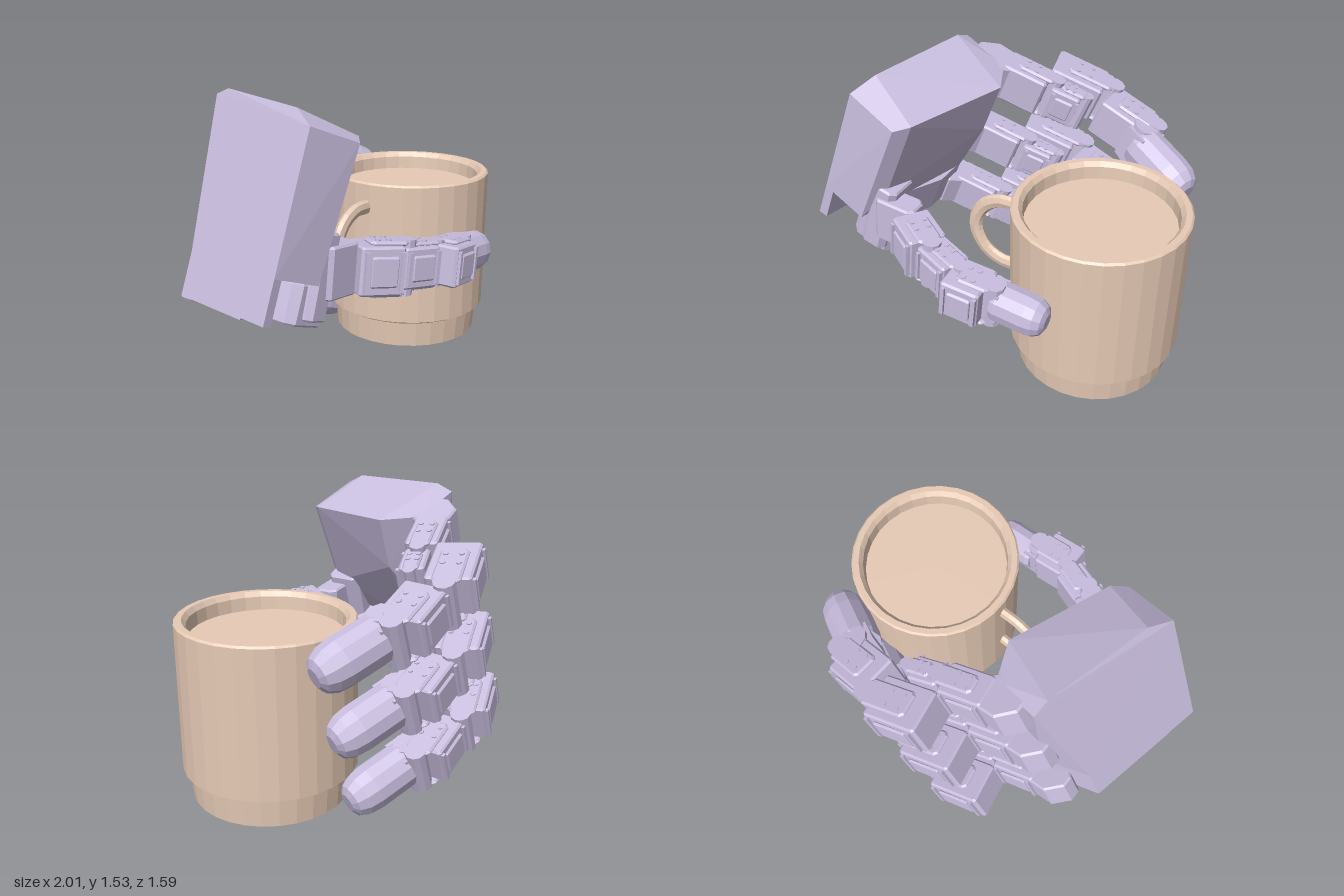
import * as THREE from 'three';
import { ConvexGeometry } from 'three/addons/geometries/ConvexGeometry.js';

const shell = new THREE.MeshStandardMaterial({ color: 0xc9bedf, flatShading: true });
const clay = new THREE.MeshStandardMaterial({ color: 0xe6cab5, flatShading: true, side: THREE.DoubleSide });

function add(parent, name, geometry, material = shell, x = 0, y = 0, z = 0) {
  const mesh = new THREE.Mesh(geometry, material);
  mesh.name = name;
  mesh.position.set(x, y, z);
  parent.add(mesh);
  return mesh;
}

const box = (w, h, d) => new THREE.BoxGeometry(w, h, d);

// Block with chamfered corners in plan, extruded along y and centred
function chamferBlock(l, w, d, c) {
  const a = l / 2, b = d / 2;
  const shape = new THREE.Shape([
    [-a + c, -b], [a - c, -b], [a, -b + c], [a, b - c],
    [a - c, b], [-a + c, b], [-a, b - c], [-a, -b + c],
  ].map(p => new THREE.Vector2(...p)));
  const e = 0.01;
  const g = new THREE.ExtrudeGeometry(shape, { depth: w - 2 * e, bevelEnabled: true, bevelSize: e, bevelOffset: -e, bevelThickness: e, bevelSegments: 1 });
  return g.translate(0, 0, -w / 2 + e).rotateX(-Math.PI / 2);
}

// Group at the start of a link, its x axis pointing to the end (both [x, z])
function linkFrame(parent, name, from, to) {
  const g = new THREE.Group();
  g.name = name;
  const dx = to[0] - from[0], dz = to[1] - from[1];
  g.position.set(from[0], 0, from[1]);
  g.rotation.y = Math.atan2(-dz, dx);
  parent.add(g);
  return [g, Math.hypot(dx, dz)];
}

// Motor-housing link: body, side brackets, hinge pin, bolts and a cover on its outer side
function link(parent, name, from, to, w, d, out) {
  const [g, l] = linkFrame(parent, name, from, to);
  add(g, 'housing', chamferBlock(l * 0.82, w * 0.86, d, 0.012), shell, l * 0.45);
  add(g, 'cover', chamferBlock(l * 0.5, w * 0.55, 0.02, 0.004), shell, l * 0.47, 0, out * (d / 2 + 0.004));
  add(g, 'hingePin', new THREE.CylinderGeometry(d * 0.24, d * 0.24, w, 10), shell, l);
  for (const s of [-1, 1]) {
    add(g, 'bracket', chamferBlock(l * 0.72, 0.025, d * 0.62, 0.02), shell, l * 0.62, s * w * 0.45);
    add(g, 'coverRib', box(0.02, w * 0.7, 0.03), shell, l * (0.47 + s * 0.33), 0, out * (d / 2));
    for (const t of [0.4, 0.6])
      for (const q of [-1, 1])
        add(g, 'bolt', new THREE.CylinderGeometry(0.014, 0.014, 0.012, 6), shell, l * t, s * w * 0.5, q * d * 0.17);
  }
}

// Blunt faceted fingertip pad with a fork behind it
function tip(parent, from, to, w, d) {
  const [g, l] = linkFrame(parent, 'fingertip', from, to);
  const profile = [[0, 0.08], [0.96, 0.08], [1.04, 0.16], [1.04, 0.66], [0.97, 0.83], [0.75, 0.95], [0.42, 1], [0, 1]]
    .map(([r, h]) => new THREE.Vector2(r, h));
  const geo = new THREE.LatheGeometry(profile, 12).rotateZ(-Math.PI / 2).scale(l, w / 2, d / 2);
  add(g, 'pad', geo);
  add(g, 'fork', box(l * 0.3, w * 0.8, d * 0.75), shell, l * 0.06);
  add(g, 'tipHinge', new THREE.CylinderGeometry(d * 0.3, d * 0.3, w, 10), shell, 0.01);
}

function buildFinger(parent, v, z) {
  const f = new THREE.Group();
  f.name = 'finger';
  f.position.set(0, v, z);
  parent.add(f);
  add(f, 'fingerBase', chamferBlock(0.26, 0.2, 0.22, 0.08), shell, -0.78, 0, -0.35);
  link(f, 'knuckle', [-0.74, -0.37], [-0.44, -0.43], 0.25, 0.17, -1);
  link(f, 'innerLink', [-0.46, -0.42], [-0.26, -0.47], 0.22, 0.13, 1);
  link(f, 'proximalLink', [-0.55, -0.61], [-0.19, -0.69], 0.25, 0.23, -1);
  link(f, 'middleLink', [-0.19, -0.605], [0.13, -0.585], 0.25, 0.23, -1);
  tip(f, [0.08, -0.515], [0.46, -0.35], 0.24, 0.23);
}

function buildPalm(hand) {
  // Corner points as [along fingers, across fingers, z]
  const hull = (name, pts) => add(hand, name, new ConvexGeometry(pts.map(p => new THREE.Vector3(...p))));
  hull('palm', [
    [-1.17, 0.42, 0.42], [-0.9, 0.42, 0.46], [-0.83, 0.6, 0.4], [-0.74, 0.5, -0.1], [-0.74, 0.42, -0.31], [-1.02, 0.42, -0.25],
    [-1.17, 1.09, 0.42], [-0.87, 1.09, 0.48], [-0.81, 1.13, 0.42], [-0.63, 0.92, -0.11], [-0.63, 1.22, -0.11],
    [-0.72, 1.21, -0.31], [-0.99, 1.21, -0.36], [-1.13, 1.17, 0.29], [-1.01, 1.24, -0.27],
  ]);
  hull('palmHeel', [0.2, 0.44].flatMap(v => [[-1.13, v, 0.25], [-0.85, v, 0.2], [-0.74, v, -0.1], [-0.74, v, -0.31], [-1.02, v, -0.25]]));
  hull('backPlate', [0.21, 0.44].flatMap(v => [[-1.17, v, 0.42], [-1.12, v, 0.42], [-1.0, v, -0.24], [-1.02, v, -0.25]]));
}

function buildThumb(root) {
  const base = add(root, 'thumbBase', chamferBlock(0.15, 0.42, 0.2, 0.03), shell, -0.6, 0.73, 0.34);
  base.rotation.z = -0.3;
  const mount = add(root, 'thumbMount', chamferBlock(0.26, 0.2, 0.2, 0.04), shell, -0.66, 0.6, 0.3);
  mount.rotation.z = -0.37;
  const t = new THREE.Group();
  t.name = 'thumb';
  t.position.y = 0.68;
  t.rotation.z = -0.11;
  root.add(t);
  add(t, 'thumbKnuckle', chamferBlock(0.24, 0.26, 0.14, 0.03), shell, -0.49, 0, 0.39);
  link(t, 'thumbProximalLink', [-0.4, 0.43], [-0.17, 0.58], 0.28, 0.2, 1);
  link(t, 'thumbInnerLink', [-0.21, 0.54], [0.03, 0.63], 0.24, 0.17, 1);
  link(t, 'thumbMiddleLink', [-0.02, 0.665], [0.23, 0.655], 0.24, 0.22, 1);
  tip(t, [0.21, 0.63], [0.51, 0.63], 0.21, 0.19);
}

function buildMug(root) {
  const mug = new THREE.Group();
  mug.name = 'mug';
  root.add(mug);
  // Foot, wall, rim and shallow inner floor in one profile
  const profile = [[0, 0.06], [0.405, 0.06], [0.415, 0.2], [0.43, 0.22], [0.45, 0.22], [0.45, 0.985],
    [0.44, 0.995], [0.41, 0.995], [0.39, 0.97], [0.385, 0.9], [0, 0.9]].map(p => new THREE.Vector2(...p));
  add(mug, 'mugBody', new THREE.LatheGeometry(profile, 30), clay, 0.55, 0, 0.125);
  // Flat loop handle
  const path = new THREE.CatmullRomCurve3([[0.13, 0.86], [0, 0.86], [-0.1, 0.8], [-0.155, 0.67], [-0.1, 0.53], [0, 0.47], [0.13, 0.47]]
    .map(([x, y]) => new THREE.Vector3(x, y, 0)));
  add(mug, 'mugHandle', new THREE.TubeGeometry(path, 20, 0.04, 8).scale(1, 1, 0.7), clay, 0, 0, 0.15);
}

export function createModel() {
  const root = new THREE.Group();
  root.name = 'robotHandWithMug';
  const hand = new THREE.Group();
  hand.name = 'hand';
  hand.rotation.z = -0.377;
  root.add(hand);
  buildPalm(hand);
  [1.115, 0.69, 0.265].forEach((v, i) => buildFinger(hand, v, i * 0.012));
  buildThumb(root);
  buildMug(root);
  return root;
}
